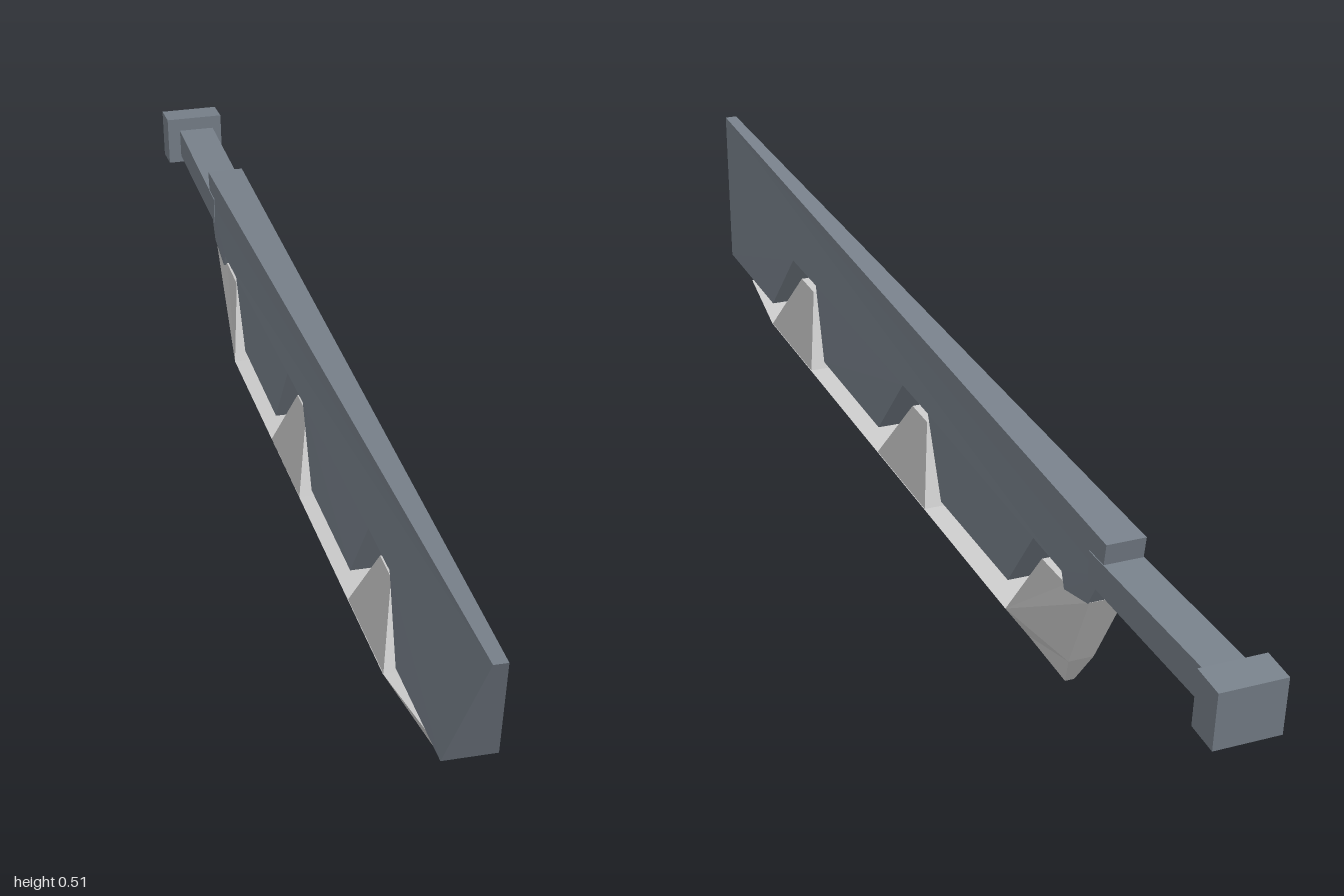
import * as THREE from 'three';

const steel = new THREE.MeshStandardMaterial({ color: 0x78818b, flatShading: true });
const pale = new THREE.MeshStandardMaterial({ color: 0xcccccc, flatShading: true });

// The whole blade lies on a slightly yawed centre plane
const centreX = (z) => 0.007 + 0.053 * z;

// Solid from a side profile of [z, y, halfWidth] points, mirrored about the centre plane
function wedge(name, material, points) {
  let pts = points.map((p) => [...p]);
  if (THREE.ShapeUtils.isClockWise(pts.map((p) => new THREE.Vector2(p[0], p[1])))) pts.reverse();
  const contour = pts.map((p) => new THREE.Vector2(p[0], p[1]));
  const pos = [];
  const put = (i, side) => {
    const [z, y, h] = pts[i];
    pos.push(centreX(z) + side * h, y, z);
  };
  for (const [a, b, c] of THREE.ShapeUtils.triangulateShape(contour, [])) {
    [a, b, c].forEach((i) => put(i, -1));
    [c, b, a].forEach((i) => put(i, 1));
  }
  pts.forEach((_, i) => {
    const j = (i + 1) % pts.length;
    [[i, -1], [i, 1], [j, 1], [i, -1], [j, 1], [j, -1]].forEach(([k, s]) => put(k, s));
  });
  const geo = new THREE.BufferGeometry();
  geo.setAttribute('position', new THREE.Float32BufferAttribute(pos, 3));
  geo.computeVertexNormals();
  const mesh = new THREE.Mesh(geo, material);
  mesh.name = name;
  return mesh;
}

const constant = (h, pts) => pts.map(([z, y]) => [z, y, h]);

// Blade thickness: thin spine at the tip, thicker toward the slots and the handle
function bladeHalfWidth(z, y) {
  const t = (1 - z) / 1.65;
  const depth = Math.min(1, Math.max(0, (0.512 - 0.113 * (1 - z) - y) / 0.24));
  return THREE.MathUtils.lerp(0.011 + 0.022 * t, 0.043 - 0.01 * t, depth);
}

export function createModel() {
  const model = new THREE.Group();
  model.name = 'cleaver';

  // Main blade with three notches along its underside
  const outline = [
    [1, 0.514], [0.905, 0.252], [0.68, 0.225], [0.595, 0.343], [0.48, 0.332], [0.42, 0.2],
    [0.17, 0.17], [0.08, 0.288], [-0.025, 0.277], [-0.09, 0.14], [-0.34, 0.113], [-0.42, 0.228],
    [-0.515, 0.217], [-0.525, 0.19], [-0.6, 0.203], [-0.64, 0.27], [-0.65, 0.327],
  ];
  model.add(wedge('blade', steel, outline.map(([z, y]) => [z, y, bladeHalfWidth(z, y)])));

  // Handle, neck and pommel
  model.add(wedge('handle', steel, constant(0.034, [[-0.6, 0.294], [-0.6, 0.242], [-0.92, 0.214], [-0.925, 0.27]])));
  model.add(wedge('neck', pale, constant(0.022, [[-0.915, 0.26], [-0.915, 0.222], [-0.95, 0.22], [-0.95, 0.258]])));
  model.add(wedge('pommel', steel, constant(0.055, [[-0.945, 0.286], [-0.938, 0.19], [-0.993, 0.181], [-1, 0.277]])));

  // Cutting edge: sections of [topZ, topY, topHalf, bottomZ, bottomY, bottomHalf]
  const sections = [
    [0.84, 0.215, 0.025, 0.78, 0.147, 0.008],
    [0.655, 0.193, 0.053, 0.655, 0.133, 0.008],
    [-0.363, 0.075, 0.05, -0.363, 0.015, 0.008],
    [-0.525, 0.058, 0.022, -0.49, 0, 0.008],
  ];
  const edge = new THREE.Group();
  edge.name = 'cuttingEdge';
  for (let i = 0; i < sections.length - 1; i++) {
    const a = sections[i], b = sections[i + 1];
    edge.add(wedge('edgeSegment', pale, [a.slice(0, 3), a.slice(3), b.slice(3), b.slice(0, 3)]));
  }
  model.add(edge);

  // Heel rising from the edge to the back of the blade
  model.add(wedge('heel', pale, [
    [-0.363, 0.075, 0.05], [-0.44, 0.2, 0.027], [-0.52, 0.195, 0.027],
    [-0.602, 0.205, 0.031], [-0.525, 0.058, 0.022],
  ]));

  // Tapered teeth standing in the notches
  for (const [z, y] of [[0.555, 0.182], [0.042, 0.125]]) {
    model.add(wedge('tooth', pale, [
      [z + 0.1, y + 0.011, 0.052], [z + 0.02, y + 0.129, 0.02],
      [z - 0.04, y + 0.123, 0.02], [z - 0.1, y - 0.011, 0.052],
    ]));
  }
  return model;
}
